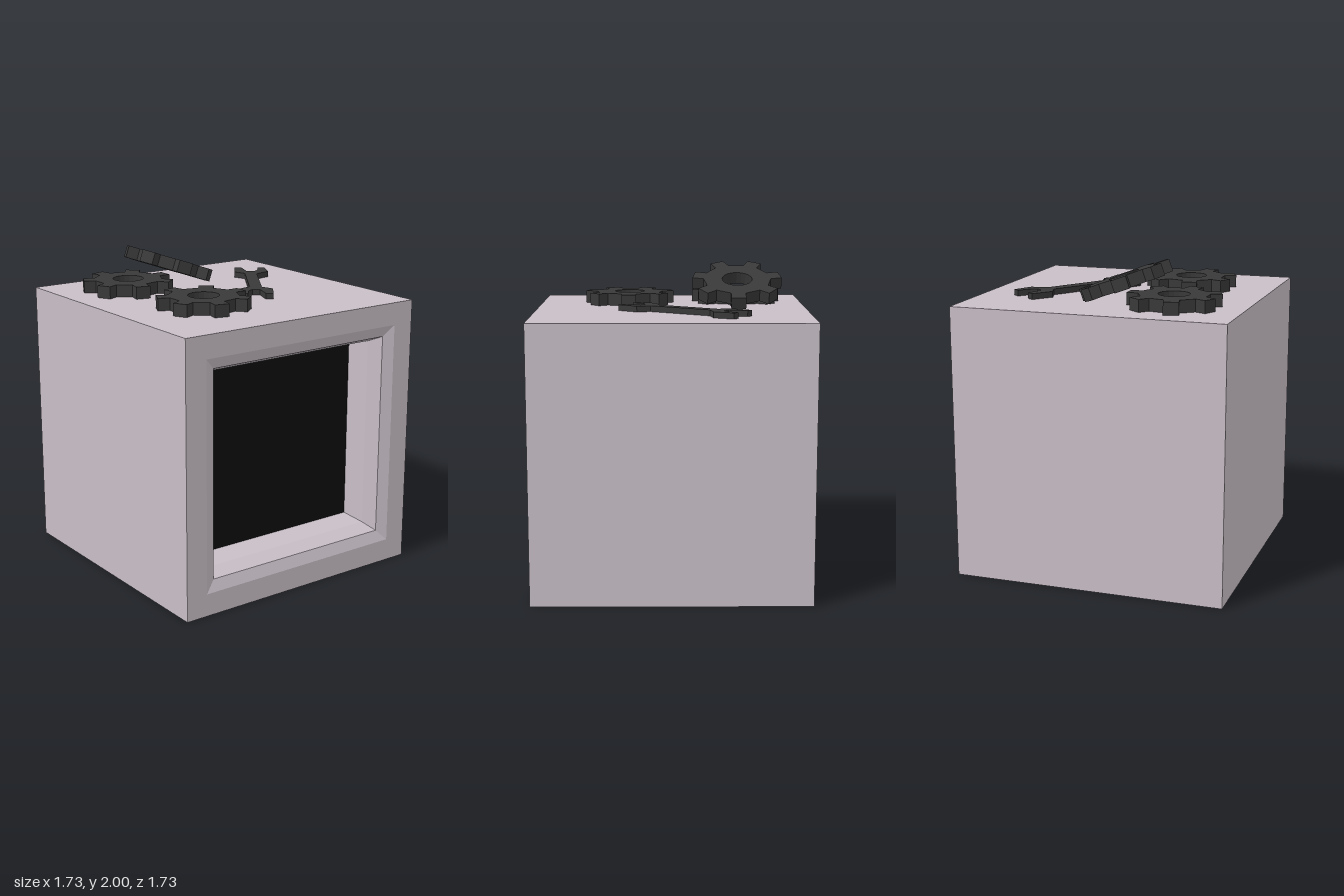
import * as THREE from 'three';

const HALF = 0.8625, TOP = HALF * 2;

// Toothed wheel lying flat, centred on its own middle
function gearGeometry(thickness) {
  const teeth = 7, root = 0.22, outer = 0.288, half = 0.047;
  const shape = new THREE.Shape();
  const points = [];
  for (let i = 0; i < teeth; i++) {
    const a = (i / teeth) * Math.PI * 2, c = Math.cos(a), s = Math.sin(a);
    for (const [r, w] of [[root - 0.006, -half], [outer, -half], [outer, half], [root - 0.006, half]]) {
      points.push(new THREE.Vector2(r * c - w * s, r * s + w * c));
    }
  }
  shape.setFromPoints(points);
  const hole = new THREE.Path();
  hole.absarc(0, 0, 0.098, 0, Math.PI * 2, true);
  shape.holes.push(hole);
  const g = new THREE.ExtrudeGeometry(shape, { depth: thickness, bevelEnabled: false, curveSegments: 10 });
  return g.translate(0, 0, -thickness / 2).rotateX(-Math.PI / 2);
}

// Double-ended spanner: one half outline, repeated by a half turn
function wrenchGeometry(thickness) {
  const half = [
    [0.15, 0.157], [0.26, 0.176], [0.324, 0.296], [0.287, 0.324], [0.23, 0.257], [0.19, 0.24],
    [0.15, 0.27], [0.193, 0.385], [0.155, 0.412], [0.065, 0.295], [0.09, 0.21],
  ];
  const points = [1, -1].flatMap((k) => half.map(([x, y]) => new THREE.Vector2(x * k, y * k)));
  const g = new THREE.ExtrudeGeometry(new THREE.Shape(points), { depth: thickness, bevelEnabled: false });
  return g.rotateX(-Math.PI / 2);
}

// Cube with a stepped square recess: a four-sided lathe along z
function caseGeometry() {
  const profile = [
    [0, -HALF], [HALF, -HALF], [HALF, HALF], [0.72, HALF],
    [0.65, HALF - 0.03], [0.61, HALF - 0.12], [0.585, HALF - 0.27],
  ].map(([h, z]) => new THREE.Vector2(h * Math.SQRT2, z));
  const g = new THREE.LatheGeometry(profile, 4).toNonIndexed();
  g.rotateY(Math.PI / 4).rotateX(Math.PI / 2);
  g.computeVertexNormals();
  return g;
}

export function createModel() {
  const model = new THREE.Group();
  const material = (name, color) => {
    const m = new THREE.MeshStandardMaterial({ color });
    m.name = name;
    return m;
  };
  const shell = material('pale mauve', 0xc9bfc7);
  const metal = material('dark grey', 0x393939);
  const black = material('black', 0x0d0d0d);

  const add = (name, geometry, mat, x, y, z) => {
    const mesh = new THREE.Mesh(geometry, mat);
    mesh.name = name;
    mesh.position.set(x, y, z);
    model.add(mesh);
    return mesh;
  };

  add('case', caseGeometry(), shell, 0, HALF, 0);
  add('screen', new THREE.PlaneGeometry(1.17, 1.17), black, 0, HALF, HALF - 0.27);

  // Two gears lie flat, the third leans on the back one
  const thick = 0.078;
  const gear = gearGeometry(thick);
  add('backGear', gear, metal, -0.42, TOP + thick / 2, -0.43);
  add('frontGear', gear, metal, -0.325, TOP + thick / 2, 0.28);
  add('leaningGear', gear, metal, -0.11, 1.866, -0.425).rotation.z = -20 * Math.PI / 180;

  add('wrench', wrenchGeometry(0.037), metal, 0.325, TOP, -0.075);
  return model;
}
